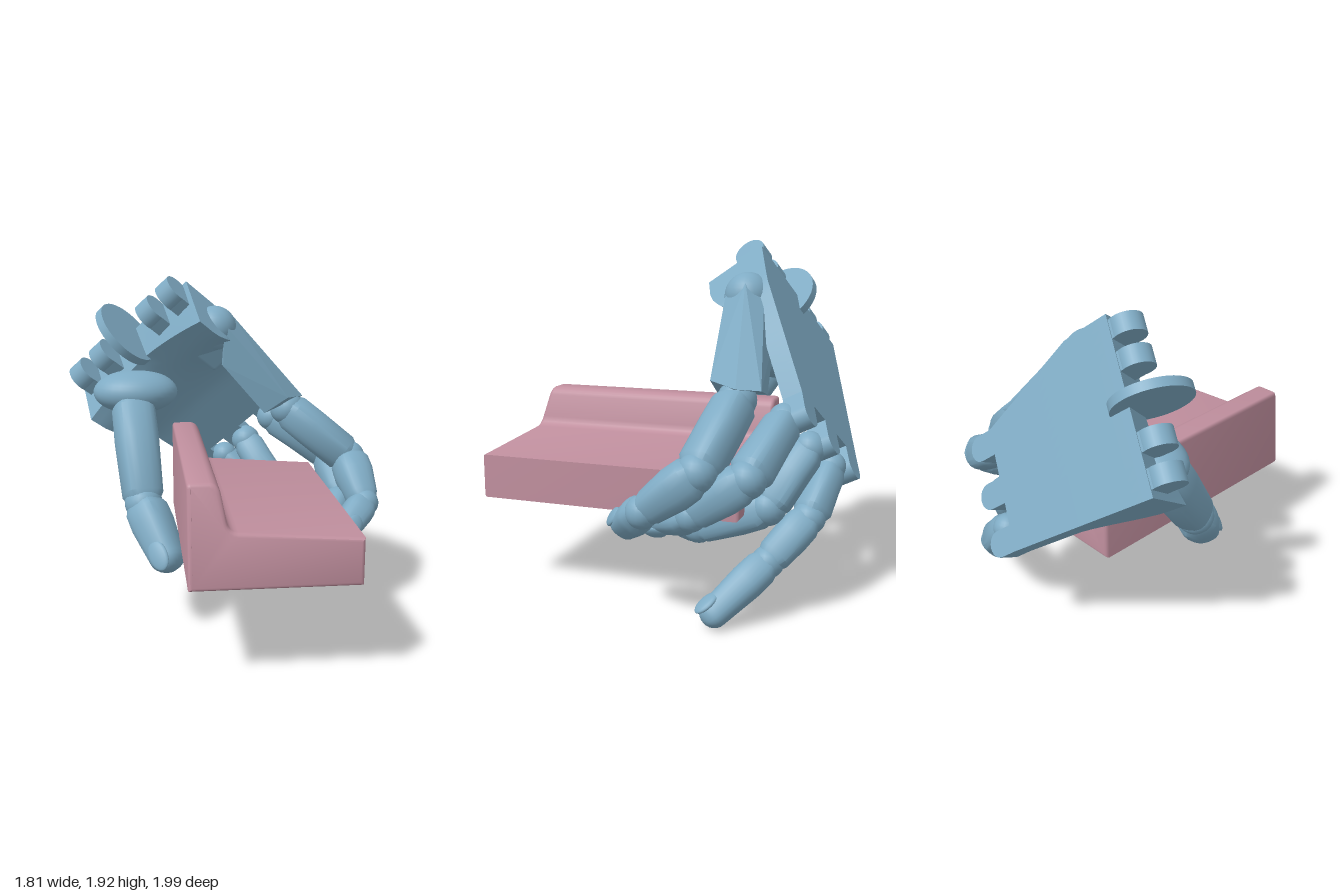
import * as THREE from 'three';
import { toCreasedNormals } from 'three/addons/utils/BufferGeometryUtils.js';
import { ConvexGeometry } from 'three/addons/geometries/ConvexGeometry.js';
import { RoundedBoxGeometry } from 'three/addons/geometries/RoundedBoxGeometry.js';

const blue = new THREE.MeshStandardMaterial({ color: 0x7fabc4 });
const pink = new THREE.MeshStandardMaterial({ color: 0xc08f9e });
const V = (p) => new THREE.Vector3(...p);

function add(parent, name, geometry, material = blue, pos = [0, 0, 0]) {
  const mesh = new THREE.Mesh(geometry, material);
  mesh.name = name;
  mesh.position.set(...pos);
  parent.add(mesh);
  return mesh;
}

// Turn a mesh built along +y so that it runs from a towards b
function aim(mesh, a, b) {
  mesh.position.copy(a);
  mesh.quaternion.setFromUnitVectors(new THREE.Vector3(0, 1, 0), b.clone().sub(a).normalize());
}

// Tapered phalanx with chamfered ends; the last one gets a rounded tip
function phalanx(parent, name, a, b, r0, r1, isTip) {
  const L = a.distanceTo(b);
  const pts = [[0, -0.02], [r0 * 0.72, -0.02], [r0, 0.05], [r0 * 1.02, L * 0.4]];
  if (isTip) {
    for (let i = 0; i <= 6; i++) {
      const t = (i / 6) * Math.PI / 2;
      pts.push([i === 6 ? 0 : r1 * Math.cos(t), L + r1 * 0.9 * Math.sin(t)]);
    }
  } else pts.push([r1, L - 0.05], [r1 * 0.75, L], [0, L]);
  const g = new THREE.LatheGeometry(pts.map((p) => new THREE.Vector2(...p)), 24);
  // Push the round section towards a rounded square
  const p = g.attributes.position;
  for (let i = 0; i < p.count; i++) {
    const t = Math.atan2(p.getZ(i), p.getX(i));
    const k = 0.95 / Math.pow(Math.cos(t) ** 4 + Math.sin(t) ** 4, 0.13);
    p.setX(i, p.getX(i) * k);
    p.setZ(i, p.getZ(i) * k);
  }
  aim(add(parent, name, toCreasedNormals(g, 0.6)), a, b);
}

// A finger through a list of joints, with a ball at each bend and a nail
function finger(root, name, joints, radii, nailSide) {
  const group = new THREE.Group();
  group.name = name;
  root.add(group);
  const pts = joints.map(V);
  const last = pts.length - 1;
  for (let i = 0; i < last; i++) {
    phalanx(group, name + 'Segment' + (i + 1), pts[i], pts[i + 1], radii[i], radii[i + 1], i === last - 1);
    add(group, name + 'Joint' + (i + 1), new THREE.SphereGeometry(radii[i] * 0.9, 20, 14), blue, joints[i]);
  }
  const dir = pts[last].clone().sub(pts[last - 1]).normalize();
  const out = V(nailSide).addScaledVector(dir, -V(nailSide).dot(dir)).normalize();
  const nail = add(group, name + 'Nail', new THREE.SphereGeometry(1, 18, 12));
  nail.scale.set(radii[last] * 0.6, radii[last] * 0.9, 0.02);
  nail.position.copy(pts[last]).addScaledVector(out, radii[last] * 0.92);
  const side = dir.clone().cross(out);
  nail.quaternion.setFromRotationMatrix(new THREE.Matrix4().makeBasis(side, dir, out));
}

// Palm: local x runs to the fingers, y across the hand, z out of the palm
function buildPalm(root) {
  const palm = new THREE.Group();
  palm.name = 'palm';
  root.add(palm);
  const f = V([0.73, -0.611, -0.305]).normalize();
  const s = V([0.683, 0.653, 0.326]).normalize();
  palm.quaternion.setFromRotationMatrix(new THREE.Matrix4().makeBasis(f, s, f.clone().cross(s)));
  palm.position.set(-0.57, 1.6, -0.43);

  // Wedge-shaped body, hollow in the middle and thick at the heel
  const g = new THREE.BoxGeometry(1, 1, 1, 16, 16, 1);
  const p = g.attributes.position;
  for (let i = 0; i < p.count; i++) {
    const u = p.getX(i) + 0.5, w = p.getY(i) + 0.5, top = p.getZ(i) > 0;
    const x = 0.06 + u * 0.94;
    const lo = -0.47 + 0.04 * u;
    const hi = 0.46 - 0.22 * Math.max(0, (u - 0.3) / 0.7);
    const edge = Math.abs(w * 2 - 1) ** 1.6;
    const heel = 1 - THREE.MathUtils.smoothstep(u, 0.12, 0.6);
    const z = top ? 0.03 + 0.1 * heel + 0.14 * heel * edge : -0.08;
    p.setXYZ(i, x + (top ? 0.08 * (1 - u) : 0), lo + (hi - lo) * w, z);
  }
  add(palm, 'palmBody', toCreasedNormals(g, 0.6));

  // Wrist hinge: four lugs and one large disc
  for (const y of [-0.38, -0.2, 0.21, 0.38]) {
    add(palm, 'wristLug', new THREE.CylinderGeometry(0.09, 0.09, 0.1, 28), blue, [0.02, y, 0.01]);
    add(palm, 'wristLugArm', new THREE.BoxGeometry(0.16, 0.1, 0.17), blue, [0.1, y, 0.01]);
  }
  add(palm, 'wristDisc', new THREE.CylinderGeometry(0.21, 0.21, 0.05, 40), blue, [0, 0, 0.02]);

  // Rounded tongues between the finger roots
  for (const y of [-0.36, -0.1, 0.17]) {
    const tongue = add(palm, 'knuckleTongue', new THREE.CylinderGeometry(0.07, 0.07, 0.11, 24), blue, [1.1, y, -0.025]);
    tongue.rotation.x = Math.PI / 2;
    add(palm, 'knuckleTongueArm', new THREE.BoxGeometry(0.14, 0.14, 0.11), blue, [1.03, y, -0.025]);
  }

  // Bracket that carries the forefinger
  add(palm, 'forefingerBracket', new RoundedBoxGeometry(0.24, 0.2, 0.2, 2, 0.03), blue, [0.4, 0.31, 0.05]);
}

// Tray with a raised rail along one side
function buildTray(root) {
  const shape = new THREE.Shape();
  shape.moveTo(-0.3, 0.53);
  shape.lineTo(0.55, 0.53);
  shape.lineTo(0.55, 0.77);
  shape.lineTo(-0.06, 0.815);
  shape.quadraticCurveTo(-0.11, 0.82, -0.115, 0.87);
  shape.lineTo(-0.14, 1.0);
  shape.quadraticCurveTo(-0.155, 1.04, -0.19, 1.045);
  shape.lineTo(-0.28, 1.045);
  shape.quadraticCurveTo(-0.3, 1.045, -0.3, 1.02);
  const g = new THREE.ExtrudeGeometry(shape, {
    depth: 1.43, bevelSize: 0.02, bevelThickness: 0.02, bevelOffset: -0.02, bevelSegments: 3, curveSegments: 5,
  });
  g.translate(0, 0, -0.45);
  // Slope the front end of the rail
  const p = g.attributes.position;
  for (let i = 0; i < p.count; i++) {
    if (p.getZ(i) > 0.9) p.setZ(i, p.getZ(i) - 0.27 * Math.max(0, p.getY(i) - 0.79));
  }
  add(root, 'tray', toCreasedNormals(g, 0.7), pink);
}

export function createModel() {
  const model = new THREE.Group();
  model.name = 'handHoldingTray';
  buildPalm(model);
  buildTray(model);

  // Faceted base block of the forefinger, with its mount on the palm
  const block = [
    [0, 1.66, -0.23], [-0.01, 1.42, -0.23], [0.24, 1.13, -0.26], [0.38, 1.22, -0.26], [0.05, 1.71, -0.35],
    [0.5, 1.2, -0.43], [0.03, 1.62, -0.45], [0, 1.4, -0.5], [0.24, 1.14, -0.53], [0.45, 1.19, -0.55],
  ];
  add(model, 'forefingerBase', new ConvexGeometry(block.map(V)));
  add(model, 'forefingerMount', new THREE.SphereGeometry(0.13, 24, 16), blue, [-0.05, 1.63, -0.34]);

  // Thumb, growing out of a broad pad on the heel of the hand
  const pad = add(model, 'thumbPad', new THREE.SphereGeometry(1, 32, 20), blue, [-0.52, 1.25, -0.4]);
  pad.scale.set(0.25, 0.13, 0.18);
  finger(model, 'thumb', [[-0.54, 1.2, -0.34], [-0.49, 0.68, 0.02], [-0.37, 0.43, 0.23]],
    [0.13, 0.12, 0.1], [-0.2, -0.2, 1]);

  // Four fingers curling round the tray
  finger(model, 'forefinger', [[0.4, 1.13, -0.41], [0.77, 0.83, -0.32], [0.81, 0.62, -0.05], [0.67, 0.51, 0.09]],
    [0.115, 0.115, 0.095, 0.085], [0.1, 0.2, 1]);
  finger(model, 'middleFinger', [[0.34, 1.03, -0.65], [0.7, 0.8, -0.55], [0.72, 0.6, -0.27], [0.62, 0.53, -0.07]],
    [0.1, 0.11, 0.095, 0.08], [0.5, -0.8, 0.3]);
  finger(model, 'ringFinger', [[0.19, 0.86, -0.75], [0.36, 0.57, -0.57], [0.31, 0.41, -0.18], [0.16, 0.42, 0.04]],
    [0.1, 0.11, 0.1, 0.085], [-0.3, 0, 1]);
  finger(model, 'littleFinger', [[0.06, 0.74, -0.84], [0.28, 0.51, -0.77], [0.46, 0.31, -0.6], [0.68, 0.09, -0.38]],
    [0.09, 0.1, 0.095, 0.08], [0.6, 0.5, 0.6]);
  return model;
}
